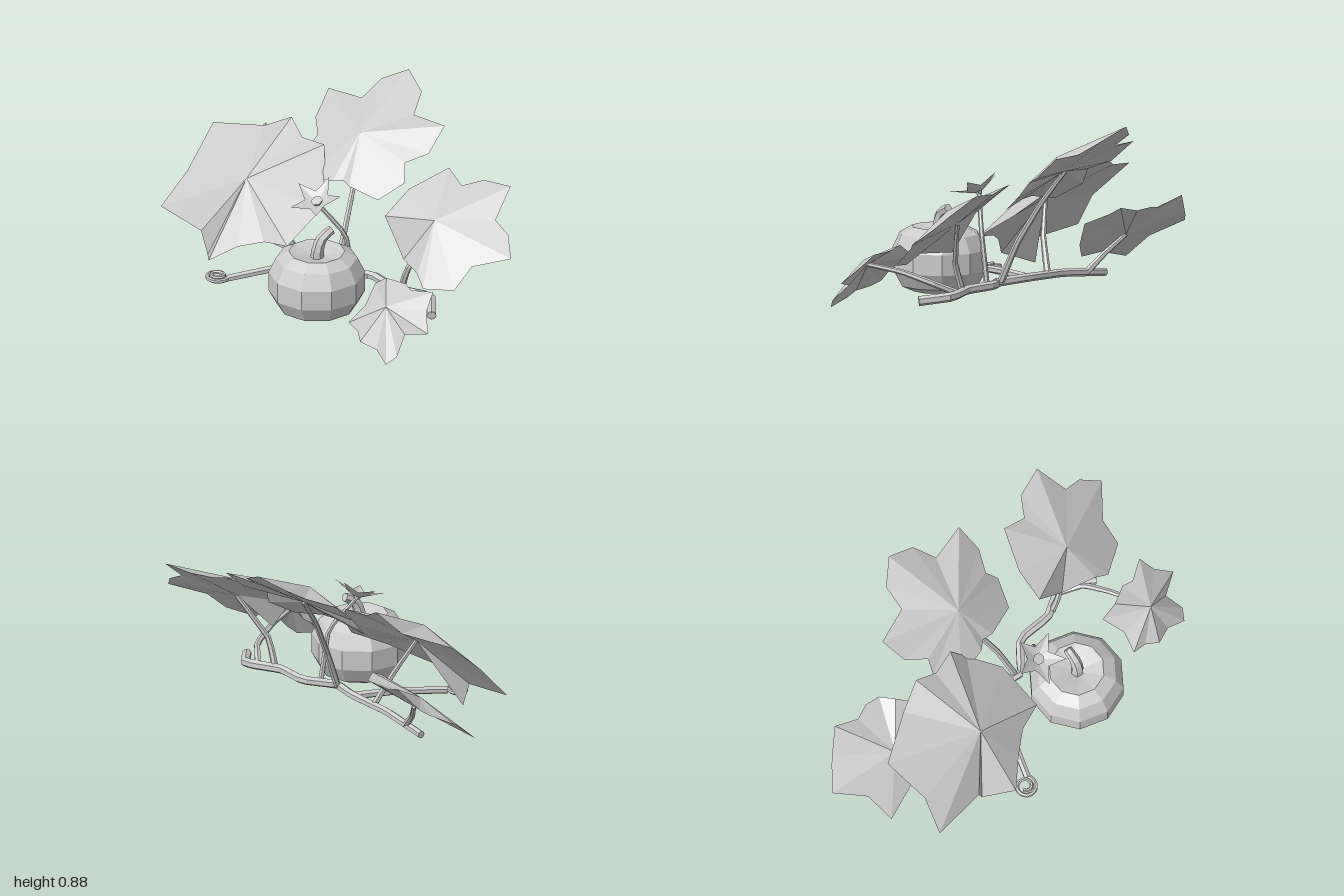
import * as THREE from 'three';

const grey = new THREE.MeshStandardMaterial({ color: 0xcccccc, flatShading: true, side: THREE.DoubleSide });
grey.name = 'pale grey';

const add = (parent, name, geometry) => {
  const mesh = new THREE.Mesh(geometry, grey);
  mesh.name = name;
  parent.add(mesh);
  return mesh;
};

// Triangle fan from a centre point to a closed outline
function fan(centre, outline) {
  const pos = [];
  outline.forEach((p, i) => pos.push(...centre, ...outline[(i + 1) % outline.length], ...p));
  const g = new THREE.BufferGeometry();
  g.setAttribute('position', new THREE.Float32BufferAttribute(pos, 3));
  g.computeVertexNormals();
  return g;
}

// Six-sided stalk along a path, tapering from r0 to r1, with closed ends
function stalk(parent, name, points, r0, r1 = r0, steps = 4) {
  const group = new THREE.Group();
  group.name = name;
  parent.add(group);
  const curve = new THREE.CatmullRomCurve3(points.map(p => new THREE.Vector3(...p)), false, 'catmullrom', 0.1);
  const n = (points.length - 1) * steps;
  const g = new THREE.TubeGeometry(curve, n, 1, 6);
  const pos = g.attributes.position, v = new THREE.Vector3();
  for (let i = 0; i < pos.count; i++) {
    const t = Math.floor(i / 7) / n, c = curve.getPointAt(t);
    v.fromBufferAttribute(pos, i).sub(c).multiplyScalar(r0 + (r1 - r0) * t).add(c);
    pos.setXYZ(i, v.x, v.y, v.z);
  }
  g.computeVertexNormals();
  add(group, name + 'Tube', g);
  for (const [t, r, s] of [[0, r0, -1], [1, r1, 1]]) {
    const cap = add(group, name + 'End', new THREE.CircleGeometry(r, 6));
    const p = curve.getPointAt(t);
    cap.position.copy(p);
    cap.lookAt(p.clone().addScaledVector(curve.getTangentAt(t), s));
  }
}

// Leaf with a drooping top, a deeper underside of given depth, and a stalk to the vine
function leaf(parent, name, centre, depth, outline, stem) {
  const group = new THREE.Group();
  group.name = name;
  parent.add(group);
  const mid = new THREE.Vector3(...centre), normal = new THREE.Vector3();
  const spokes = outline.map(p => new THREE.Vector3(...p).sub(mid));
  spokes.forEach((a, i) => normal.add(a.clone().cross(spokes[(i + 1) % spokes.length])));
  normal.normalize().multiplyScalar(normal.y > 0 ? -depth : depth);
  const under = mid.add(normal).toArray();
  add(group, name + 'Top', fan(centre, outline));
  add(group, name + 'Underside', fan(under, outline));
  stalk(group, name + 'Stem', [...stem, under], 0.017, 0.011);
}

// Ten-lobed pumpkin body
function pumpkin(parent) {
  const profile = [[0, 0.028], [0.13, 0.028], [0.19, 0.055], [0.232, 0.13], [0.232, 0.23],
    [0.195, 0.305], [0.135, 0.34], [0.08, 0.325], [0, 0.3]].map(p => new THREE.Vector2(...p));
  const g = new THREE.LatheGeometry(profile, 20);
  const pos = g.attributes.position;
  for (let i = 0; i < pos.count; i++) {
    const k = Math.floor(i / profile.length) % 2 ? 0.95 : 1;
    pos.setXYZ(i, pos.getX(i) * k, pos.getY(i), pos.getZ(i) * k);
  }
  g.rotateY(Math.PI / 10);
  g.computeVertexNormals();
  add(parent, 'pumpkin', g).position.set(0.138, 0, 0.358);
  stalk(parent, 'pumpkinStem', [[0.14, 0.28, 0.36], [0.145, 0.36, 0.36], [0.155, 0.41, 0.335], [0.172, 0.435, 0.285]], 0.034, 0.022, 2);
}

// Five-petalled star flower
function flower(parent) {
  const group = new THREE.Group();
  group.name = 'flower';
  group.position.set(0.03, 0.495, 0.2);
  group.rotation.x = 0.45;
  parent.add(group);
  const petals = Array.from({ length: 10 }, (_, i) => {
    const a = i * Math.PI / 5, tip = i % 2 === 0, r = tip ? 0.13 : 0.06;
    return [Math.sin(a) * r, tip ? 0.06 : 0.03, -Math.cos(a) * r];
  });
  add(group, 'petals', fan([0, 0, 0], petals));
  add(group, 'flowerHeart', new THREE.CylinderGeometry(0.03, 0.014, 0.03, 6)).position.y = 0.012;
}

export function createModel() {
  const model = new THREE.Group();
  model.name = 'pumpkinPlant';

  pumpkin(model);
  flower(model);
  stalk(model, 'flowerStem', [[0.15, 0.08, 0.08], [0.135, 0.33, 0.12], [0.03, 0.495, 0.2]], 0.014, 0.01);

  // Zigzag vine along the ground, its side shoot and the curled tendril
  stalk(model, 'vine', [[0.66, 0.06, 0.14], [0.56, 0.08, 0.01], [0.37, 0.085, 0.05], [0.2, 0.09, 0], [0.06, 0.075, 0.09],
    [-0.1, 0.085, 0.015], [-0.35, 0.08, -0.03], [-0.62, 0.055, -0.1]], 0.024, 0.019);
  stalk(model, 'sideShoot', [[-0.11, 0.085, 0.02], [-0.22, 0.08, 0.2], [-0.37, 0.06, 0.4]], 0.02, 0.018);
  const curl = Array.from({ length: 17 }, (_, i) => {
    const a = i * 0.62 - 0.6, r = 0.056 - i * 0.002;
    return [-0.415 + Math.cos(a) * r, 0.06 + i * 0.001, 0.415 + Math.sin(a) * r];
  });
  stalk(model, 'tendril', [[-0.34, 0.065, 0.37], ...curl], 0.012, 0.009, 2);

  // Symmetric back leaf: half outline mirrored about its midrib
  const half = [[0.12, 0.82, -0.545], [0.155, 0.75, -0.435], [0.345, 0.75, -0.425], [0.335, 0.645, -0.305],
    [0.26, 0.61, -0.22], [0.292, 0.53, -0.17], [0.215, 0.46, -0.06], [0.05, 0.49, -0.05]];
  const mid = -0.02;
  leaf(model, 'backLeaf', [mid, 0.7, -0.21], 0.08, [
    [mid, 0.88, -0.605],
    ...half.map(([x, y, z]) => [mid + x, y, z]),
    [mid, 0.5, -0.07],
    ...half.map(([x, y, z]) => [mid - x, y, z]).reverse(),
  ], [[0.04, 0.08, 0.07], [0.03, 0.28, -0.02], [0, 0.48, -0.14]]);

  leaf(model, 'leftLeaf', [0.59, 0.5, 0.02], 0.08, [
    [0.815, 0.625, -0.29], [0.835, 0.51, -0.14], [0.925, 0.465, -0.12], [1, 0.39, -0.04], [0.845, 0.345, 0.065],
    [0.815, 0.25, 0.17], [0.66, 0.23, 0.21], [0.6, 0.28, 0.175], [0.45, 0.275, 0.08], [0.31, 0.45, 0.04],
    [0.35, 0.55, -0.1], [0.47, 0.635, -0.26], [0.58, 0.59, -0.215], [0.66, 0.615, -0.285],
  ], [[0.41, 0.08, 0.05], [0.46, 0.22, 0.06]]);

  leaf(model, 'largeRightLeaf', [-0.42, 0.487, 0.166], 0.085, [
    [-0.42, 0.67, -0.2], [-0.32, 0.61, -0.15], [-0.19, 0.61, -0.15], [-0.14, 0.51, -0.09], [-0.055, 0.385, 0.06],
    [-0.095, 0.265, 0.28], [-0.23, 0.25, 0.285], [-0.35, 0.21, 0.335], [-0.475, 0.125, 0.4], [-0.575, 0.075, 0.27],
    [-0.61, 0.195, 0.275], [-0.885, 0.225, 0.225], [-0.82, 0.385, 0.1], [-0.82, 0.56, -0.11], [-0.565, 0.59, -0.18],
  ], [[-0.25, 0.08, -0.01], [-0.32, 0.25, 0.06]]);

  leaf(model, 'farRightLeaf', [-0.665, 0.285, -0.165], 0.055, [
    [-0.755, 0.44, -0.45], [-0.65, 0.39, -0.385], [-0.57, 0.4, -0.39], [-0.5, 0.39, -0.36], [-0.47, 0.4, -0.285],
    [-0.44, 0.37, -0.24], [-0.39, 0.32, -0.13], [-0.47, 0.2, -0.05], [-0.55, 0.13, -0.01], [-0.68, 0.14, -0.04],
    [-0.905, 0.09, -0.035], [-0.9, 0.2, -0.17], [-1, 0.275, -0.31], [-0.895, 0.32, -0.38], [-0.86, 0.34, -0.4],
  ], [[-0.5, 0.065, -0.07], [-0.58, 0.15, -0.12]]);

  leaf(model, 'smallFrontLeaf', [0.63, 0.23, 0.47], 0.03, [
    [0.45, 0.24, 0.31], [0.53, 0.3, 0.33], [0.63, 0.29, 0.31], [0.68, 0.28, 0.335], [0.79, 0.29, 0.305],
    [0.805, 0.22, 0.38], [0.865, 0.145, 0.45], [0.75, 0.12, 0.48], [0.765, 0.04, 0.565], [0.725, 0, 0.6],
    [0.64, 0.04, 0.56], [0.55, 0.06, 0.57], [0.5, 0.08, 0.52], [0.43, 0.1, 0.5], [0.47, 0.17, 0.42],
  ], [[0.5, 0.09, 0.03], [0.58, 0.14, 0.12], [0.61, 0.185, 0.27]]);

  return model;
}
